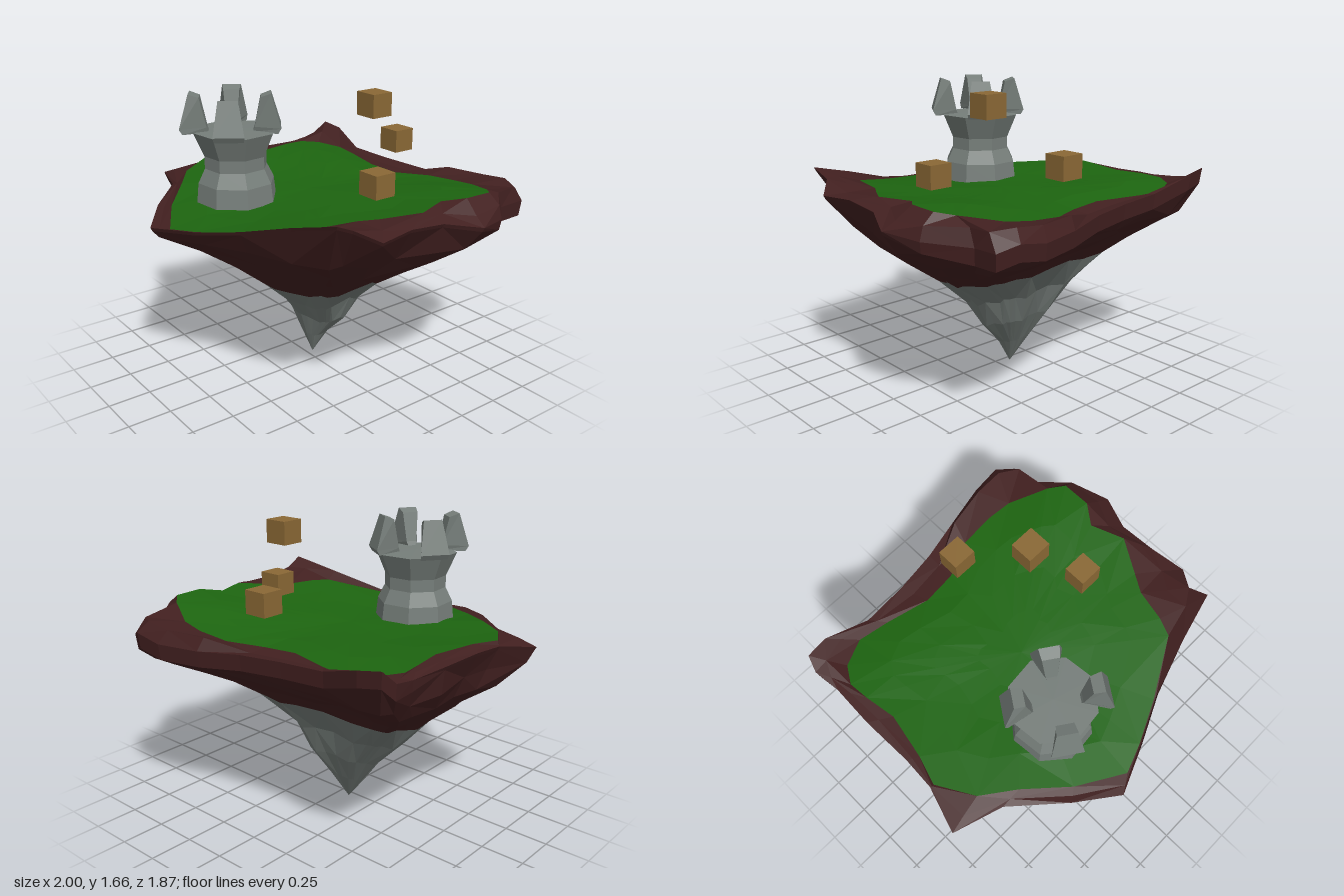
import * as THREE from 'three';

const mat = (color) => new THREE.MeshStandardMaterial({ color, flatShading: true, roughness: 1 });
const grassMat = mat(0x1d6510), dirtMat = mat(0x422020), stoneMat = mat(0x767e7a), woodMat = mat(0x8a6835);

// Island rim: x, y, z going round from the back left corner
const RIM = [
  [-0.93, 1.13, -0.70], [-0.90, 1.20, -0.77], [-0.77, 1.18, -0.79], [-0.52, 1.10, -0.74], [-0.25, 1.09, -0.76],
  [0, 1.08, -0.80], [0.25, 1.06, -0.87], [0.50, 1.06, -0.93], [0.67, 1.09, -0.935], [0.77, 1.05, -0.88],
  [0.76, 1.04, -0.72], [0.93, 1.06, -0.53], [1.0, 1.08, -0.32], [0.91, 1.12, -0.12], [0.91, 1.14, 0.10],
  [0.94, 1.13, 0.31], [0.85, 1.19, 0.42], [0.865, 1.24, 0.53], [0.60, 1.17, 0.60], [0.30, 1.08, 0.70],
  [0.05, 1.03, 0.82], [-0.22, 1.0, 0.935], [-0.45, 1.03, 0.77], [-0.72, 1.04, 0.53], [-1.0, 1.03, 0.44],
  [-0.92, 1.08, 0.19], [-0.91, 1.09, 0], [-0.92, 1.10, -0.30], [-0.91, 1.10, -0.55],
];
// Grass edge: x, z for the same columns
const GRASS = [
  [-0.84, -0.52], [-0.78, -0.62], [-0.63, -0.69], [-0.45, -0.66], [-0.20, -0.60], [0, -0.62], [0.20, -0.71],
  [0.40, -0.72], [0.55, -0.70], [0.70, -0.62], [0.76, -0.59], [0.84, -0.52], [0.84, -0.35], [0.76, -0.24],
  [0.83, -0.05], [0.72, 0.14], [0.66, 0.24], [0.62, 0.42], [0.58, 0.52], [0.27, 0.70], [0.04, 0.81],
  [-0.12, 0.87], [-0.38, 0.72], [-0.60, 0.53], [-0.78, 0.40], [-0.90, 0.20], [-0.85, 0.04], [-0.80, -0.22], [-0.83, -0.40],
];
// Reach of the underside at each height, measured along the four axes
const LEVELS = [0, 0.15, 0.3, 0.47, 0.6, 0.8, 0.9, 1.0];
const REACH = {
  minX: [-0.08, -0.20, -0.32, -0.50, -0.60, -0.85, -0.92, -0.97],
  maxX: [-0.08, 0.01, 0.16, 0.25, 0.41, 0.73, 0.87, 0.94],
  minZ: [-0.04, -0.13, -0.23, -0.30, -0.36, -0.60, -0.80, -0.93],
  maxZ: [-0.04, 0, 0.03, 0.22, 0.38, 0.64, 0.83, 0.92],
};
const TIP = { x: -0.08, z: -0.04 };
const { lerp, clamp } = THREE.MathUtils;

// Repeatable jitter from -1 to 1
function jitter(a, b) {
  const s = Math.sin(a * 127.1 + b * 311.7) * 43758.5453;
  return (s - Math.floor(s)) * 2 - 1;
}

function reachAt(table, y) {
  let k = 0;
  while (k < LEVELS.length - 2 && y > LEVELS[k + 1]) k++;
  const t = clamp((y - LEVELS[k]) / (LEVELS[k + 1] - LEVELS[k]), 0, 1);
  return lerp(table[k], table[k + 1], t);
}

// Flat-shaded skin over closed rings, listed from the top centre outwards and down
function loft(name, rings, material) {
  const pos = [];
  const add = (a, b, c) => {
    const area = new THREE.Vector3().subVectors(b, a).cross(new THREE.Vector3().subVectors(c, a)).length();
    if (area > 1e-7) for (const v of [a, b, c]) pos.push(v.x, v.y, v.z);
  };
  for (let k = 0; k + 1 < rings.length; k++) {
    const up = rings[k], low = rings[k + 1], n = up.length;
    for (let i = 0; i < n; i++) {
      const j = (i + 1) % n;
      if ((i + k) % 2) { add(up[i], up[j], low[i]); add(up[j], low[j], low[i]); }
      else { add(up[i], up[j], low[j]); add(up[i], low[j], low[i]); }
    }
  }
  const geo = new THREE.BufferGeometry();
  geo.setAttribute('position', new THREE.Float32BufferAttribute(pos, 3));
  geo.computeVertexNormals();
  const mesh = new THREE.Mesh(geo, material);
  mesh.name = name;
  return mesh;
}

const V = (x, y, z) => new THREE.Vector3(x, y, z);
// Gently rolling ground, rising to the back and right, dropping near the front and back edges
const groundY = (x, z) => 1.08 + 0.08 * Math.max(0, x) - 0.04 * z + 0.04 * x * x
  - 0.15 * Math.max(0, z - 0.6, -z - 0.45) + 0.01 * Math.sin(6 * x + 1) * Math.cos(7 * z);

// Point of the underside in column i at height y: rim-shaped above, corners cut below
function underPoint(i, y) {
  const [px, py, pz] = RIM[i];
  let u = px > TIP.x ? (px - TIP.x) / (1 - TIP.x) : (px - TIP.x) / (1 + TIP.x);
  let v = pz > TIP.z ? (pz - TIP.z) / (0.935 - TIP.z) : (pz - TIP.z) / (0.935 + TIP.z);
  const blend = clamp((y - 0.5) / 0.45, 0, 1);
  const raised = pz > 0 ? 0.6 * Math.max(0, py - 1.08) : 0;
  const f = lerp(Math.min(1.05, 1 / Math.hypot(u, v)), 1, blend) * (1 - raised)
    * (1 + 0.03 * Math.sin(7 * Math.atan2(v, u) + 9 * y));
  u *= f; v *= f;
  const rx = Math.abs(reachAt(u > 0 ? REACH.maxX : REACH.minX, y) - TIP.x);
  const rz = Math.abs(reachAt(v > 0 ? REACH.maxZ : REACH.minZ, y) - TIP.z);
  return V(TIP.x + u * rx, y, TIP.z + v * rz);
}

function island() {
  const g = new THREE.Group();
  g.name = 'island';
  const cols = RIM.map((_, i) => i);
  // Grass top
  const grassRing = (s) => cols.map((i) => {
    const x = lerp(-0.05, GRASS[i][0], s), z = lerp(0, GRASS[i][1], s);
    return V(x, groundY(x, z), z);
  });
  const edge = grassRing(1);
  g.add(loft('grass', [0, 0.25, 0.5, 0.75, 1].map(grassRing), grassMat));

  // Earth: bank (a raised crest at the back right), rim, lip, then the sloping underside
  const rim = RIM.map((p) => V(...p));
  const bank = cols.map((i) => {
    const crest = rim[i].x > 0.2 && rim[i].z < -0.5;
    const p = edge[i].clone().lerp(rim[i], crest ? 0.75 : 0.55);
    p.y = (crest ? 1.14 : p.y) + 0.012 * jitter(i, 5);
    return p;
  });
  const lip = rim.map((p) => {
    const drop = 0.02 + 0.07 * clamp((-0.3 - p.z) / 0.4, 0, 1);
    return V(p.x * 0.99, p.y - drop, p.z * 0.99);
  });
  const stoneTop = cols.map((i) => {
    const s = RIM[i][2] / Math.hypot(RIM[i][0], RIM[i][2]);
    return 0.6 - 0.1 * s + 0.03 * jitter(i, 9);
  });
  const slope = [0, 0.33, 0.66, 1].map((t) =>
    cols.map((i) => underPoint(i, lerp(Math.min(0.94, lip[i].y - 0.03), stoneTop[i], t))));
  g.add(loft('earth', [edge, bank, rim, lip, ...slope], dirtMat));

  // Stone point
  const stone = [0.75, 0.5, 0.25, 0].map((t) => cols.map((i) => underPoint(i, stoneTop[i] * t)));
  g.add(loft('stonePoint', [slope[3], ...stone], stoneMat));
  return g;
}

function tower() {
  const g = new THREE.Group();
  g.name = 'tower';
  // Eight-sided waisted wall with a flat roof
  const profile = [[0.23, 1.06], [0.218, 1.17], [0.178, 1.25], [0.178, 1.32], [0.235, 1.455], [0, 1.46]]
    .map(([r, y]) => new THREE.Vector2(r, y));
  const wall = new THREE.Mesh(new THREE.LatheGeometry(profile, 8, Math.PI / 8), stoneMat);
  wall.name = 'towerWall';
  wall.rotation.y = 0.1;
  wall.position.z = -0.025;
  g.add(wall);

  // Leaning battlements: [y, inner radius, outer radius, inner half width, outer half width]
  const rows = [[1.45, 0.12, 0.258, 0.02, 0.078], [1.48, 0.13, 0.275, 0.03, 0.083], [1.665, 0.165, 0.222, 0.045, 0.053]];
  for (let n = 0; n < 4; n++) {
    const geo = new THREE.BoxGeometry(2, 2, 2, 1, 2, 1);
    const p = geo.attributes.position;
    for (let i = 0; i < p.count; i++) {
      const [y, rIn, rOut, wIn, wOut] = rows[Math.round(p.getY(i)) + 1];
      const outer = p.getZ(i) > 0;
      const drop = y > 1.6 && !outer ? 0.02 : 0;
      p.setXYZ(i, p.getX(i) * (outer ? wOut : wIn), y - drop, outer ? rOut : rIn);
    }
    geo.computeVertexNormals();
    const merlon = new THREE.Mesh(geo, stoneMat);
    merlon.name = 'battlement' + (n + 1);
    merlon.rotation.y = 0.97 + n * Math.PI / 2;
    g.add(merlon);
  }
  g.position.set(-0.215, 0, 0.415);
  return g;
}

export function createModel() {
  const model = new THREE.Group();
  model.name = 'floatingIsland';
  model.add(island(), tower());
  // Floating crates
  [[0.243, 1.6, -0.22], [0.04, 1.307, -0.58], [0.478, 1.237, -0.048]].forEach((p, i) => {
    const crate = new THREE.Mesh(new THREE.BoxGeometry(0.138, 0.13, 0.13), woodMat);
    crate.name = 'crate' + (i + 1);
    crate.position.set(...p);
    model.add(crate);
  });
  return model;
}
